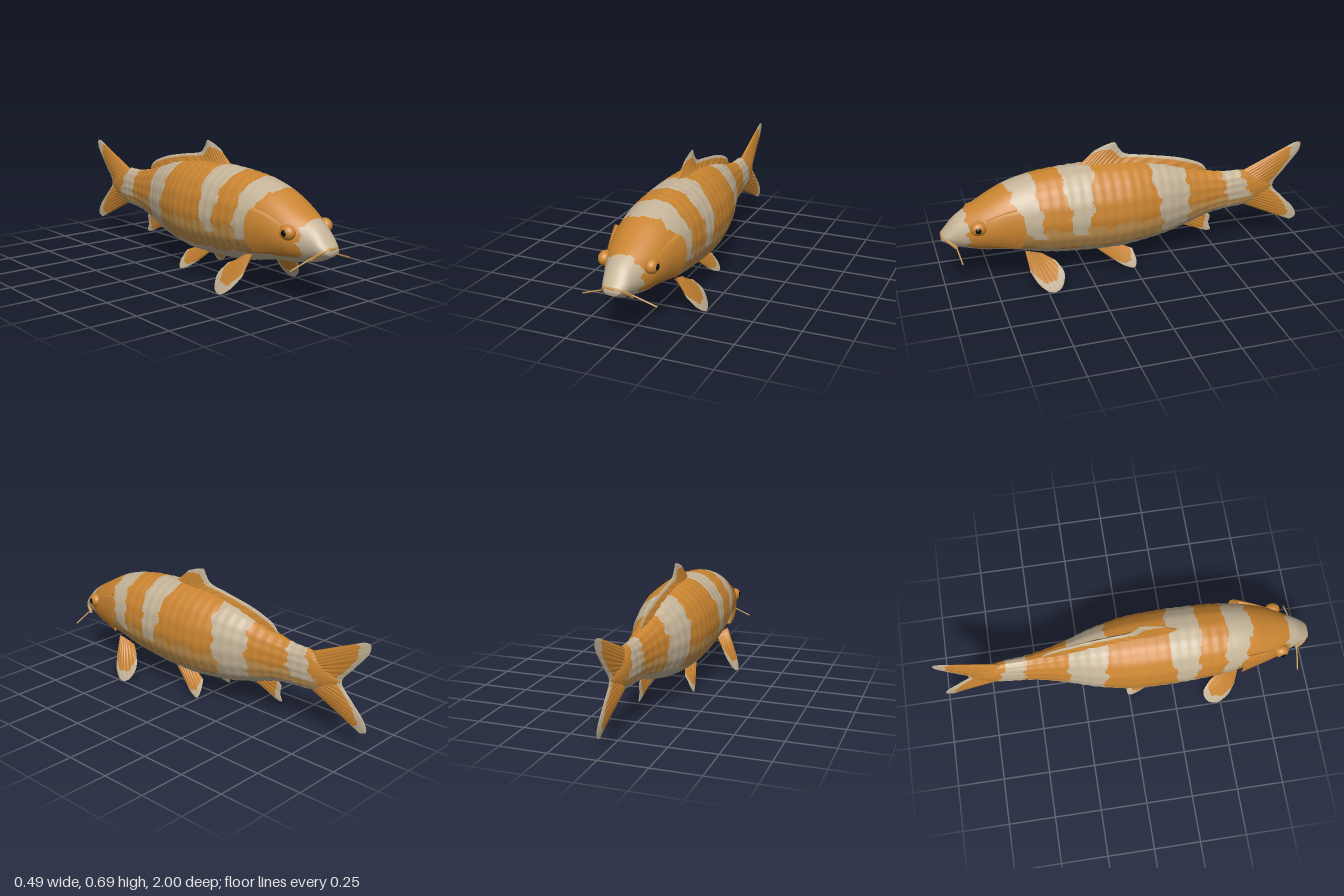
import * as THREE from 'three';

const mat = (name, color) => {
  const m = new THREE.MeshStandardMaterial({ color, side: THREE.DoubleSide });
  m.name = name;
  return m;
};
const V = (x, y, z) => new THREE.Vector3(x, y, z);

// Body stations: z, top y, bottom y, half width
const STATIONS = [
  [1.0, 0.305, 0.27, 0.036], [0.97, 0.34, 0.252, 0.06], [0.93, 0.385, 0.232, 0.075],
  [0.88, 0.42, 0.218, 0.095], [0.79, 0.47, 0.2, 0.137], [0.68, 0.528, 0.185, 0.16],
  [0.58, 0.56, 0.165, 0.176], [0.46, 0.58, 0.138, 0.188], [0.25, 0.592, 0.116, 0.195],
  [0.1, 0.59, 0.11, 0.192], [0, 0.582, 0.116, 0.185], [-0.18, 0.55, 0.14, 0.146],
  [-0.31, 0.51, 0.172, 0.105], [-0.45, 0.468, 0.215, 0.07], [-0.55, 0.45, 0.23, 0.054],
  [-0.66, 0.445, 0.237, 0.044], [-0.73, 0.415, 0.255, 0.034], [-0.8, 0.37, 0.295, 0.018],
  [-0.84, 0.336, 0.33, 0.004],
];
const slope = (i, k) => {
  const a = STATIONS[Math.max(i - 1, 0)], b = STATIONS[Math.min(i + 1, STATIONS.length - 1)];
  return (b[k] - a[k]) / (b[0] - a[0]);
};
function section(z) {
  let i = 0;
  while (i < STATIONS.length - 2 && z < STATIONS[i + 1][0]) i++;
  const a = STATIONS[i], b = STATIONS[i + 1], h = b[0] - a[0], t = (z - a[0]) / h;
  const t2 = t * t, t3 = t2 * t;
  const [top, bottom, w] = [1, 2, 3].map((k) =>
    (2 * t3 - 3 * t2 + 1) * a[k] + (t3 - 2 * t2 + t) * h * slope(i, k)
    + (3 * t2 - 2 * t3) * b[k] + (t3 - t2) * h * slope(i + 1, k));
  return { top, bottom, w };
}
// Point on the skin; angle runs from the back towards +x
function skin(z, a, off = 0) {
  const { top, bottom, w } = section(z);
  return V((w + off) * Math.sin(a), (top + bottom) / 2 + ((top - bottom) / 2 + off) * Math.cos(a), z);
}

// Joins closed rings of points; pick(i, j, centre) gives the material index of a face
function loft(name, rings, materials, pick) {
  const n = rings[0].length, faces = materials.map(() => []);
  for (let i = 0; i < rings.length - 1; i++) {
    for (let j = 0; j < n; j++) {
      const k = (j + 1) % n;
      const a = i * n + j, b = i * n + k, c = a + n, d = b + n;
      const mid = rings[i][j].clone().add(rings[i + 1][k]).multiplyScalar(0.5);
      faces[pick(i, j, mid)].push(a, b, c, b, d, c);
    }
  }
  const geo = new THREE.BufferGeometry().setFromPoints(rings.flat());
  geo.setIndex(faces.flat());
  let start = 0;
  faces.forEach((f, m) => {
    if (f.length) geo.addGroup(start, f.length, m);
    start += f.length;
  });
  geo.computeVertexNormals();
  const mesh = new THREE.Mesh(geo, materials);
  mesh.name = name;
  return mesh;
}
// Two-sided thin form: f(u, v, side)
function sheet(name, nu, nv, f, materials, pick) {
  const rings = [];
  for (let i = 0; i <= nv; i++) {
    const ring = [];
    for (let j = 0; j <= nu; j++) ring.push(f(j / nu, i / nv, 1));
    for (let j = nu - 1; j > 0; j--) ring.push(f(j / nu, i / nv, -1));
    rings.push(ring);
  }
  return loft(name, rings, materials, pick);
}

// Patches: top front z, top rear z, low front z, low rear z, lowest height fraction
const PATCHES = [
  [0.66, 0.52, 0.56, 0.49, 0.3], [0.38, 0.21, 0.34, 0.27, 0.33],
  [-0.1, -0.31, -0.17, -0.32, 0], [-0.53, -0.64, -0.56, -0.7, 0.28],
];
const ORANGE = 0, GOLD = 1, CREAM = 2;
function paint(p) {
  const { top, bottom } = section(p.z);
  const t = (p.y - bottom) / (top - bottom);
  const ripple = 0.009 * Math.sin(t * 19 + p.x * 12) + 0.006 * Math.sin(t * 41 + 1);
  const z = p.z + ripple, edge = 0.03 * Math.sin(p.z * 31) + 0.015 * Math.sin(p.z * 73);
  if (z > 0.87) return CREAM;
  if (z > 0.64 && t < 0.95) return t < 0.15 ? CREAM : ORANGE;
  for (const [a, b, c, d, low] of PATCHES) {
    const s = (t - low) / (1 - low);
    if (s > 0 && z < c + (a - c) * s && z > d + (b - d) * s) return CREAM;
  }
  if (t < 0.14 + edge * 0.5) return CREAM;
  return t < 0.42 + edge && p.z > -0.72 ? GOLD : ORANGE;
}

export function createModel() {
  const model = new THREE.Group();
  const orange = mat('orange', 0xc98431), gold = mat('gold', 0xc49350);
  const cream = mat('cream', 0xc4b397), black = mat('black', 0x0c0a08);
  const coat = [orange, gold, cream];

  // Body with shallow overlapping scales and a closed snout
  const rings = [], N = 96, R = 250;
  for (let i = 0; i <= R; i++) {
    const z = 1 - 1.84 * (i / R);
    const fade = THREE.MathUtils.smoothstep(z, -0.75, -0.6) * (1 - THREE.MathUtils.smoothstep(z, 0.5, 0.58));
    const ring = [];
    for (let j = 0; j < N; j++) {
      const a = (j / N) * Math.PI * 2, s = z / 0.055, t = (j / N) * 16;
      ring.push(skin(z, a, 0.0022 * fade * Math.sin(Math.PI * (s + t)) * Math.sin(Math.PI * (s - t))));
    }
    rings.push(ring);
  }
  rings.unshift(rings[0].map(() => V(0, 0.288, 1)));
  model.add(loft('body', rings, coat, (i, j, p) => paint(p)));

  // Fin spread between a root line and an outer line, with fine rays and a pale rim
  function fin(name, root, outer, normal, thick, rim, rays) {
    const rc = new THREE.CatmullRomCurve3(root), oc = new THREE.CatmullRomCurve3(outer);
    const nu = 64, nv = 24;
    model.add(sheet(name, nu, nv, (u, v, side) => {
      const ray = 1 + 0.12 * Math.sin(u * rays * Math.PI * 2);
      const d = side * thick * ray * Math.sqrt(Math.sin(Math.PI * u) + 1e-6) * (1 - v * 0.85) * Math.sqrt(1 - v ** 8);
      return rc.getPoint(u).lerp(oc.getPoint(u), v).addScaledVector(normal, d);
    }, [orange, cream], (i, j) => {
      const u = (j < nu ? j : 2 * nu - j) / nu;
      return i / nv > rim + 0.03 * Math.sin(u * 23) ? 1 : 0;
    }));
  }
  const flat = (pts) => pts.map(([z, y]) => V(0, y, z));
  const X = V(1, 0, 0);

  fin('dorsalFin',
    flat([[0.28, 0.58], [0.24, 0.58], [0.2, 0.58], [0.15, 0.58], [0.1, 0.575], [0, 0.57], [-0.2, 0.535], [-0.36, 0.485], [-0.43, 0.46]]),
    flat([[0.18, 0.665], [0.11, 0.69], [0.07, 0.695], [0.052, 0.665], [0.02, 0.63], [-0.1, 0.605], [-0.3, 0.562], [-0.42, 0.51], [-0.445, 0.475]]),
    X, 0.026, 0.72, 16);
  fin('tailFin',
    flat([[-0.66, 0.442], [-0.7, 0.39], [-0.71, 0.34], [-0.7, 0.29], [-0.66, 0.24]]),
    flat([[-0.96, 0.572], [-0.995, 0.57], [-0.995, 0.53], [-0.91, 0.42], [-0.845, 0.33], [-0.91, 0.25], [-0.99, 0.16], [-1, 0.115], [-0.965, 0.097]]),
    X, 0.03, 0.8, 18);
  fin('analFin',
    flat([[-0.26, 0.18], [-0.34, 0.2], [-0.42, 0.225]]),
    flat([[-0.38, 0.137], [-0.45, 0.106], [-0.48, 0.107], [-0.468, 0.15], [-0.475, 0.195], [-0.45, 0.215]]),
    X, 0.014, 0.72, 8);

  // Paired parts
  for (const s of [1, -1]) {
    const side = s > 0 ? 'left' : 'right';
    const pts = (list) => list.map(([x, y, z]) => V(s * x, y, z));
    fin(side + 'PectoralFin',
      pts([[0.14, 0.215, 0.595], [0.13, 0.195, 0.55], [0.12, 0.175, 0.5]]),
      pts([[0.185, 0.11, 0.58], [0.225, 0.045, 0.54], [0.247, 0.006, 0.48], [0.237, 0.02, 0.43], [0.2, 0.085, 0.405], [0.16, 0.145, 0.44]]),
      V(s * 0.86, 0.5, 0), 0.022, 0.74, 9);
    fin(side + 'PelvicFin',
      pts([[0.08, 0.145, 0.21], [0.07, 0.135, 0.14], [0.06, 0.135, 0.07]]),
      pts([[0.1, 0.07, 0.12], [0.123, 0.025, 0.05], [0.13, 0.014, 0], [0.117, 0.045, -0.012], [0.08, 0.105, 0]]),
      V(s * 0.8, 0.6, 0), 0.015, 0.76, 8);

    // Gill cover flaring away from the head at its rear edge
    model.add(sheet(side + 'GillCover', 32, 16, (u, v, out) => {
      const a = 1.05 + 1.35 * u;
      const rear = 0.595 + 0.05 * Math.abs(2 * u - 0.9) ** 3;
      const z = THREE.MathUtils.lerp(0.78, rear, v);
      const lift = 0.022 * v * Math.min(1, 8 * u + 0.5, 8 * (1 - u));
      return skin(z, s * a, out > 0 ? lift : -0.012);
    }, [orange], () => 0));

    // Eye
    const ball = new THREE.SphereGeometry(1, 28, 20);
    const socket = new THREE.Mesh(ball, orange);
    socket.name = side + 'EyeSocket';
    socket.position.set(s * 0.12, 0.365, 0.82);
    socket.scale.set(0.034, 0.037, 0.042);
    const pupil = new THREE.Mesh(ball, black);
    pupil.name = side + 'Pupil';
    pupil.position.set(s * 0.142, 0.366, 0.824);
    pupil.scale.set(0.015, 0.019, 0.019);
    model.add(socket, pupil);

    // Barbel
    const path = new THREE.CatmullRomCurve3(pts([[0.06, 0.262, 0.935], [0.12, 0.241, 0.928], [0.19, 0.215, 0.92]]));
    const barbel = new THREE.Mesh(new THREE.TubeGeometry(path, 16, 0.0042, 8), gold);
    barbel.name = side + 'Barbel';
    model.add(barbel);
  }

  // Upper lip arching over the mouth
  const arch = new THREE.CatmullRomCurve3([
    V(-0.072, 0.248, 0.93), V(-0.058, 0.28, 0.965), V(-0.03, 0.299, 0.989), V(0, 0.302, 0.992),
    V(0.03, 0.299, 0.989), V(0.058, 0.28, 0.965), V(0.072, 0.248, 0.93),
  ]);
  const lip = new THREE.Mesh(new THREE.TubeGeometry(arch, 40, 0.009, 10), gold);
  lip.name = 'upperLip';
  model.add(lip);

  return model;
}
